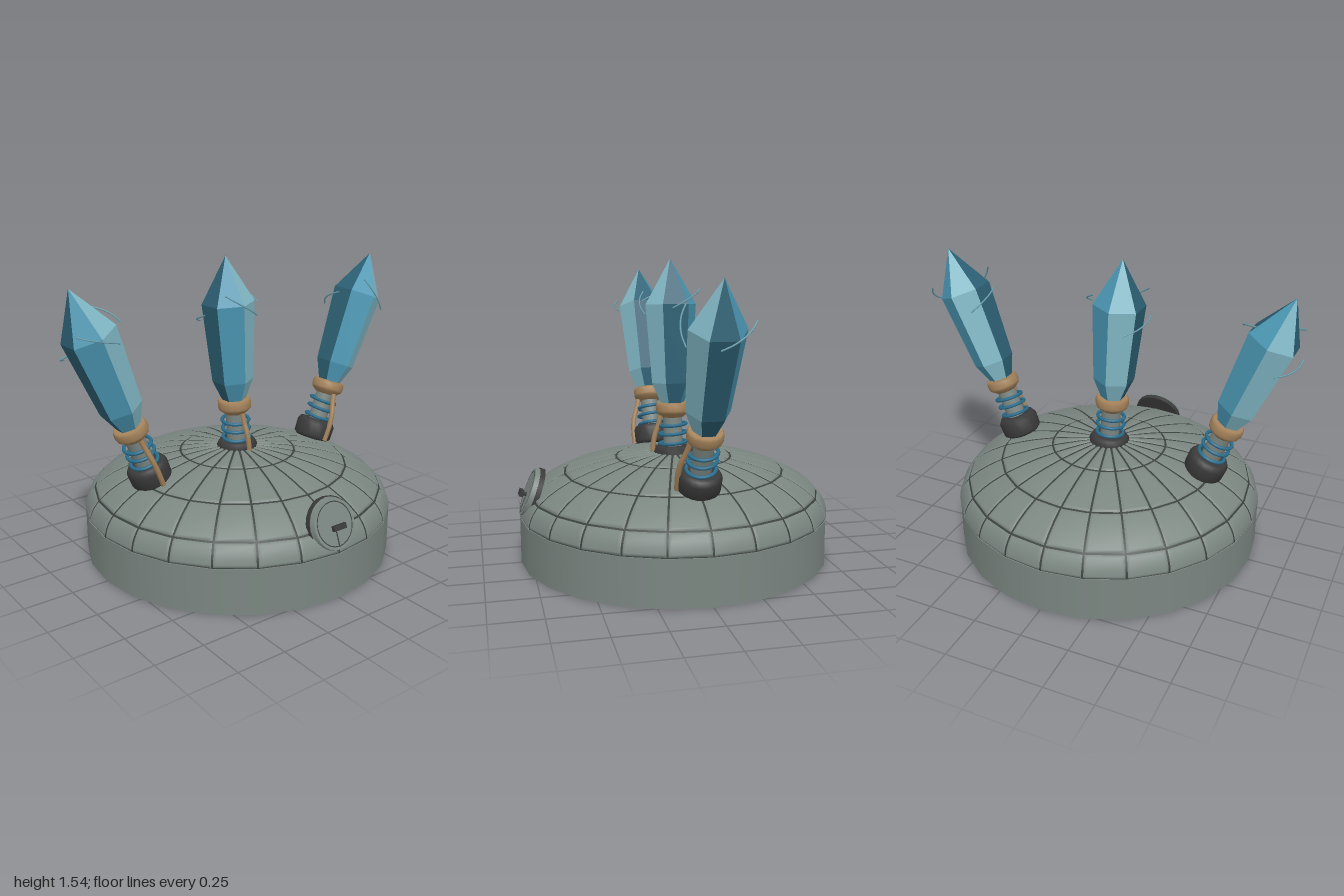
import * as THREE from 'three';

const mat = (name, color, extra = {}) => Object.assign(new THREE.MeshStandardMaterial({ color, ...extra }), { name });
const M = {
  hull: mat('grey green hull', 0x7b8681),
  seam: mat('dark seam', 0x3a413e),
  crystal: mat('blue crystal', 0x4a96b2, { flatShading: true }),
  crystalPale: mat('pale crystal', 0x82b9c7, { flatShading: true }),
  crystalDark: mat('dark crystal', 0x2c6074, { flatShading: true }),
  brass: mat('tan brass', 0xa3825a),
  rubber: mat('black rubber', 0x3a3a3a),
  coil: mat('deep blue coil', 0x296c8c),
  spark: mat('teal spark', 0x6a9fad),
};

const V = (x, y, z) => new THREE.Vector3(x, y, z);
const add = (parent, name, geo, material, x = 0, y = 0, z = 0) => {
  const m = new THREE.Mesh(geo, material);
  m.name = name;
  m.position.set(x, y, z);
  parent.add(m);
  return m;
};
const lathe = (pts, n) => new THREE.LatheGeometry(pts.map(p => new THREE.Vector2(...p)), n);
const tube = (pts, r) => new THREE.TubeGeometry(new THREE.CatmullRomCurve3(pts), 16, r, 6);

// Dome: an ellipse of radius A and height B standing on the drum
const SIDES = 24, A = 0.8, B = 0.31, DRUM = 0.235;
const domePoint = (p, th, lift) => {
  const n = new THREE.Vector2(Math.sin(p) / A, Math.cos(p) / B).normalize();
  const r = A * Math.sin(p) + n.x * lift;
  return [r * Math.sin(th), DRUM + B * Math.cos(p) + n.y * lift, r * Math.cos(th)];
};

// All padded panels of one ring, between two radii, with gaps along every seam
function panelRing(r0, r1) {
  const gap = 0.005, bevel = 0.014, rows = 7, pos = [], idx = [];
  const p0 = Math.asin(r0 / A), p1 = Math.asin(r1 / A);
  const speed = p => Math.hypot(A * Math.cos(p), B * Math.sin(p));
  const a = p0 + gap / speed(p0), d = p1 - gap / speed(p1);
  const b = a + bevel / speed(a), c = d - bevel / speed(d);
  const ps = [a, b, b + (c - b) * 0.33, b + (c - b) * 0.67, c, (c + d) / 2, d];
  for (let s = 0; s < SIDES; s++) {
    const base = pos.length / 3, mid = (s + 0.5) * 2 * Math.PI / SIDES;
    ps.forEach((p, i) => {
      const r = A * Math.sin(p);
      const outer = Math.PI / SIDES - gap / r;
      const inner = outer - Math.min(bevel / r, outer * 0.5);
      [-outer, -inner, inner, outer].forEach((t, j) => {
        const edge = i === 0 || i === rows - 1 || j === 0 || j === 3;
        pos.push(...domePoint(p, mid + t, edge ? 0.001 : 0.007));
      });
    });
    for (let i = 0; i < rows - 1; i++) for (let j = 0; j < 3; j++) {
      const q = base + i * 4 + j;
      idx.push(q, q + 4, q + 1, q + 1, q + 4, q + 5);
    }
  }
  const g = new THREE.BufferGeometry();
  g.setAttribute('position', new THREE.Float32BufferAttribute(pos, 3));
  g.setIndex(idx);
  g.computeVertexNormals();
  return g;
}

function makeDome() {
  const g = new THREE.Group();
  g.name = 'domeBase';
  add(g, 'drum', new THREE.CylinderGeometry(0.805, 0.805, DRUM, SIDES), M.hull, 0, DRUM / 2);
  const core = [];
  for (let i = 0; i <= 20; i++) {
    const p = Math.PI / 2 * (1 - i / 20);
    core.push([A * Math.sin(p), DRUM + B * Math.cos(p)]);
  }
  add(g, 'domeSeams', lathe(core, SIDES), M.seam);
  [[0.09, 0.3], [0.3, 0.57], [0.57, 0.75], [0.75, 0.8]].forEach(([r0, r1]) =>
    add(g, 'domePanels', panelRing(r0, r1), M.hull));
  return g;
}

// Round hatch leaning on the front of the dome
function makeHatch() {
  const g = new THREE.Group();
  g.name = 'hatch';
  add(g, 'hatchGasket', new THREE.CylinderGeometry(0.135, 0.135, 0.025, 24), M.rubber, 0, -0.012);
  add(g, 'hatchPlate', new THREE.CylinderGeometry(0.123, 0.13, 0.024, 24), M.hull, 0, 0.012);
  add(g, 'hatchGroove', new THREE.RingGeometry(0.104, 0.109, 24), M.seam, 0, 0.0255).rotation.x = -Math.PI / 2;
  add(g, 'hatchSlot', new THREE.BoxGeometry(0.006, 0.006, 0.08), M.seam, 0, 0.023, 0.07);
  add(g, 'handlePost', new THREE.CylinderGeometry(0.01, 0.01, 0.03, 8), M.rubber, 0, 0.035, 0.015);
  add(g, 'handleBar', new THREE.BoxGeometry(0.075, 0.02, 0.026), M.rubber, 0, 0.052, 0.015);
  g.position.set(0, 0.364, 0.742);
  g.rotation.x = 1.2;
  return g;
}

// Six-sided crystal whose faces cycle through three tones
function crystalGeometry() {
  const profile = [[0, 0.275], [0.06, 0.275], [0.106, 0.385], [0.134, 0.79], [0, 1.025]];
  const geo = lathe(profile, 6), perSide = geo.index.count / 6;
  for (let s = 0; s < 6; s++) geo.addGroup(s * perSide, perSide, s % 3);
  return geo;
}

// One crystal on its sprung mount, built upright around the socket centre
function makeEmitter(name, x, tilt) {
  const g = new THREE.Group();
  g.name = name;
  add(g, 'socket', lathe([[0, -0.055], [0.085, -0.055], [0.104, -0.038], [0.106, 0.03],
    [0.092, 0.053], [0.07, 0.056], [0, 0.05]], 20), M.rubber);
  add(g, 'stem', new THREE.CylinderGeometry(0.05, 0.05, 0.22, 16), M.hull, 0, 0.13);
  add(g, 'collar', lathe([[0, 0.2], [0.055, 0.205], [0.083, 0.228], [0.087, 0.24], [0.087, 0.27],
    [0.078, 0.282], [0, 0.28]], 16), M.brass);

  // Coil loops round the stem
  [0.07, 0.12, 0.165].forEach(y =>
    add(g, 'coilLoop', new THREE.TorusGeometry(0.07, 0.009, 8, 24), M.coil, 0, y).rotation.x = Math.PI / 2 + 0.08);

  // Strap from collar to socket
  add(g, 'strap', tube([V(0, 0.215, 0.065), V(0, 0.165, 0.078), V(0, 0.11, 0.098),
    V(0, 0.04, 0.108), V(0, -0.045, 0.105)], 0.014), M.brass);

  add(g, 'crystal', crystalGeometry(), [M.crystalPale, M.crystalDark, M.crystal]);

  // Thin spark arcs around the crystal: start angle, end angle, start height, end height
  [[-0.7, 0.4, 0.86, 0.74], [1.4, 2.6, 0.77, 0.87], [-2.6, -1.4, 0.69, 0.76]].forEach(([a0, a1, h0, h1]) => {
    const pts = [0, 0.25, 0.5, 0.75, 1].map(k => {
      const a = a0 + (a1 - a0) * k;
      return V(0.162 * Math.sin(a), h0 + (h1 - h0) * k, 0.162 * Math.cos(a));
    });
    add(g, 'sparkArc', tube(pts, 0.004), M.spark);
  });

  g.position.set(x, 0.522, 0);
  g.rotation.z = tilt;
  return g;
}

export function createModel() {
  const model = new THREE.Group();
  model.name = 'crystalDome';
  model.add(
    makeDome(),
    makeHatch(),
    makeEmitter('rightEmitter', -0.543, 0.38),
    makeEmitter('middleEmitter', 0, 0.07),
    makeEmitter('leftEmitter', 0.543, -0.38),
  );
  model.position.x = -0.008;
  return model;
}
